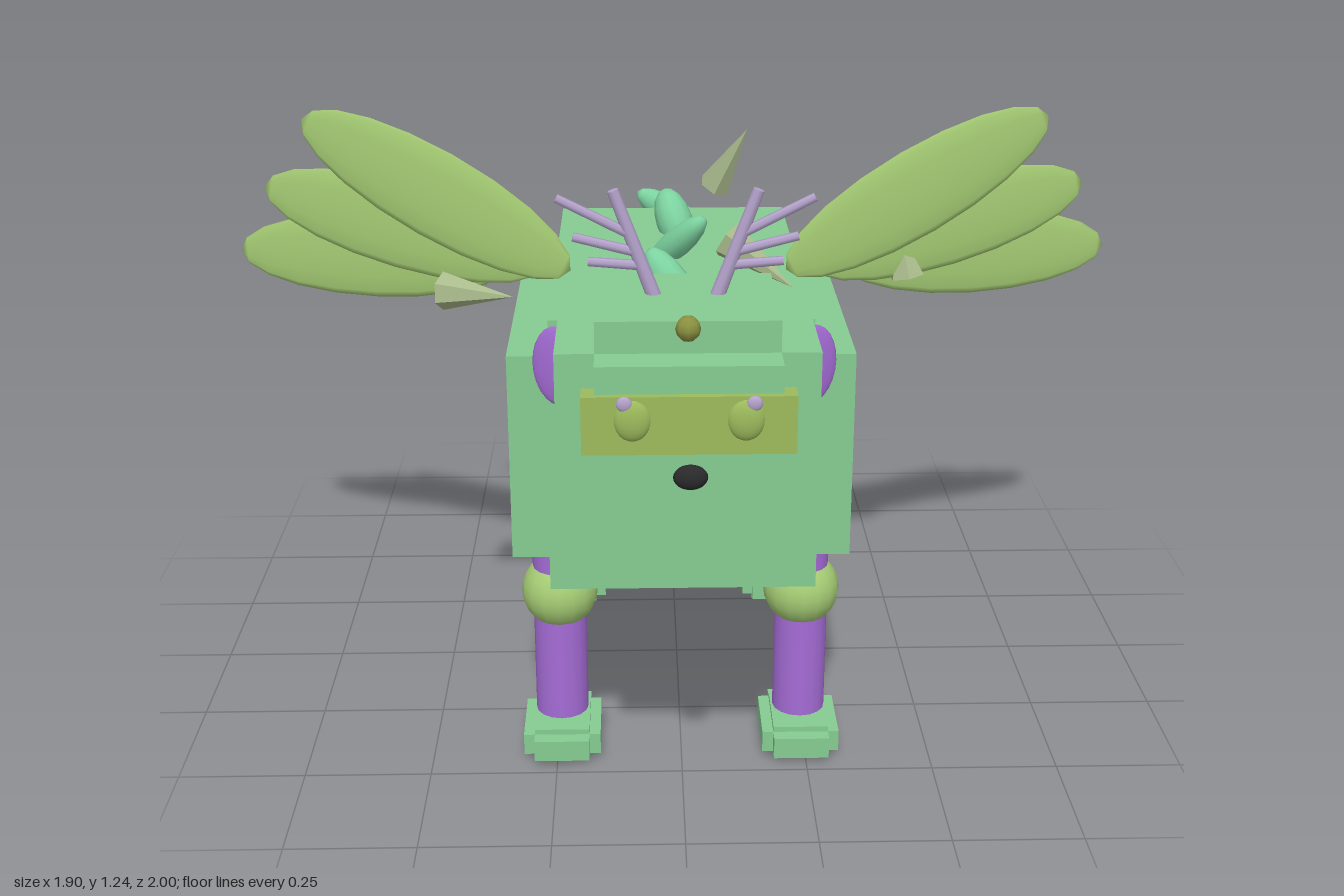
import * as THREE from 'three';

const mat = (name, color, flatShading = false) => {
  const m = new THREE.MeshStandardMaterial({ color, flatShading });
  m.name = name;
  return m;
};

export function createModel() {
  const model = new THREE.Group();
  model.name = 'wingedCreature';
  const green = mat('bodyGreen', 0x86cb92);
  const teal = mat('spineTeal', 0x7dd3a0);
  const leaf = mat('wingGreen', 0xa5cc74);
  const purple = mat('purple', 0xa56cd6);
  const lavender = mat('antlerLavender', 0xb5a3cc);
  const olive = mat('maskOlive', 0x9cba5c);
  const sage = mat('thornSage', 0xa9ba8c, true);
  const black = mat('noseBlack', 0x2a2a2c);
  const gold = mat('collarGold', 0xe0b26a);
  const moss = mat('gemMoss', 0x8a9040);

  const add = (name, geo, material, pos = [0, 0, 0], rot = [0, 0, 0], parent = model) => {
    const mesh = new THREE.Mesh(geo, material);
    mesh.name = name;
    mesh.position.set(...pos);
    mesh.rotation.set(...rot);
    parent.add(mesh);
    return mesh;
  };
  const ellipsoid = (rx, ry, rz, w = 16, h = 12) => new THREE.SphereGeometry(1, w, h).scale(rx, ry, rz);

  // Stepped block: three crossed boxes, each pulled in on one pair of sides
  const steppedBlock = (name, pos, outer, inner) => {
    const group = new THREE.Group();
    group.name = name;
    group.position.set(...pos);
    for (let axis = 0; axis < 3; axis++) {
      const half = inner.slice();
      half[axis] = outer[axis];
      add(name + 'Box', new THREE.BoxGeometry(...half.map(v => v * 2)), green, [0, 0, 0], [0, 0, 0], group);
    }
    model.add(group);
  };

  // Tapered rod between two points
  const rod = (name, a, b, r0, r1, sides, material) => {
    const p = new THREE.Vector3(...a), q = new THREE.Vector3(...b);
    const mesh = add(name, new THREE.CylinderGeometry(r1, r0, p.distanceTo(q), sides), material);
    mesh.position.copy(p).add(q).multiplyScalar(0.5);
    mesh.quaternion.setFromUnitVectors(new THREE.Vector3(0, 1, 0), q.sub(p).normalize());
  };

  // Torso, head, neck and collar
  steppedBlock('torso', [0, 0.64, 0], [0.33, 0.278, 0.55], [0.25, 0.208, 0.41]);
  steppedBlock('head', [0, 0.878, 0.7], [0.22, 0.177, 0.198], [0.153, 0.122, 0.134]);
  add('neck', ellipsoid(0.12, 0.175, 0.12), teal, [0, 0.78, 0.47]);
  add('collar', new THREE.TorusGeometry(0.172, 0.013, 8, 32), gold, [0, 0.76, 0.56], [0.39, 0, 0]);

  // Face
  add('mask', new THREE.BoxGeometry(0.35, 0.1, 0.042), olive, [0, 0.903, 0.89]);
  add('nose', ellipsoid(0.028, 0.021, 0.015), black, [0, 0.845, 0.985]);
  add('foreheadGem', new THREE.SphereGeometry(0.022, 8, 6), moss, [0, 1.042, 0.832]);

  for (const s of [-1, 1]) {
    add('eye', ellipsoid(0.031, 0.036, 0.014), olive, [s * 0.092, 0.912, 0.908]);
    add('eyeGlint', ellipsoid(0.013, 0.013, 0.006), lavender, [s * 0.105, 0.942, 0.914]);
    add('ear', ellipsoid(0.05, 0.073, 0.01), purple, [s * 0.222, 0.912, 0.645], [0, s * 0.45, 0]);

    // Antlers
    rod('antler', [s * 0.05, 1.04, 0.682], [s * 0.122, 1.235, 0.682], 0.013, 0.01, 8, lavender);
    const prongs = [[0.075, 1.105, 0.165, 1.112], [0.082, 1.128, 0.19, 1.155], [0.095, 1.16, 0.217, 1.222]];
    for (const [x0, y0, x1, y1] of prongs)
      rod('antlerProng', [s * x0, y0, 0.682], [s * x1, y1, 0.682], 0.009, 0.008, 6, lavender);

    // Wing feathers
    const feathers = [[0.485, 1.075, 0.075, 0.46], [0.57, 0.98, -0.04, 0.21], [0.65, 0.882, -0.16, -0.03]];
    for (const [x, y, z, tilt] of feathers) {
      const geo = new THREE.SphereGeometry(1, 12, 10).rotateZ(Math.PI / 2).scale(0.312, 0.093, 0.011);
      const feather = add('wingFeather', geo, leaf, [s * x, y, z], [0, s * 0.265, s * tilt]);
      feather.rotation.order = 'YXZ';
    }

    // Legs
    for (const z of [0.35, -0.35]) {
      add('leg', new THREE.CylinderGeometry(0.053, 0.053, 0.42, 16), purple, [s * 0.242, 0.26, z]);
      add('knee', new THREE.SphereGeometry(0.076, 16, 12), leaf, [s * 0.242, 0.333, z]);
      steppedBlock('foot', [s * 0.24, 0.033, z + 0.025], [0.077, 0.033, 0.1], [0.055, 0.022, 0.072]);
    }
  }

  // Tail disc
  add('tail', ellipsoid(0.013, 0.173, 0.213, 12, 8), purple, [0, 0.68, -0.79], [-0.25, 0, 0]);

  // Leaning spines along the back: position, radii, rotation
  const spines = [
    [[0, 0.895, -0.45], [0.035, 0.095, 0.03], [0, 0, 1.0]],
    [[0, 0.94, -0.215], [0.04, 0.075, 0.045], [-0.5, 0, 0.3]],
    [[0, 0.95, 0], [0.03, 0.1, 0.03], [0.65, 0, -0.6]],
    [[-0.015, 0.93, 0.21], [0.035, 0.08, 0.03], [-0.35, 0, 0.6]],
    [[0, 0.92, 0.39], [0.035, 0.06, 0.035], [-0.2, 0, 0]],
  ];
  for (const [pos, radii, rot] of spines) add('backSpine', ellipsoid(...radii, 12, 8), teal, pos, rot);

  // Floating thorns: base centre to tip
  const thorns = [
    [[0.1, 0.95, -0.49], [0.17, 1.095, -0.43]],
    [[-0.46, 0.925, -0.32], [-0.32, 0.93, -0.255]],
    [[-0.46, 0.925, 0.24], [-0.32, 0.93, 0.3]],
    [[0.085, 1.075, 0.415], [0.2, 1.0, 0.475]],
    [[0.485, 0.87, -0.02], [0.465, 0.97, -0.03]],
  ];
  for (const [base, tip] of thorns) rod('thorn', base, tip, 0.038, 0, 6, sage);

  return model;
}
